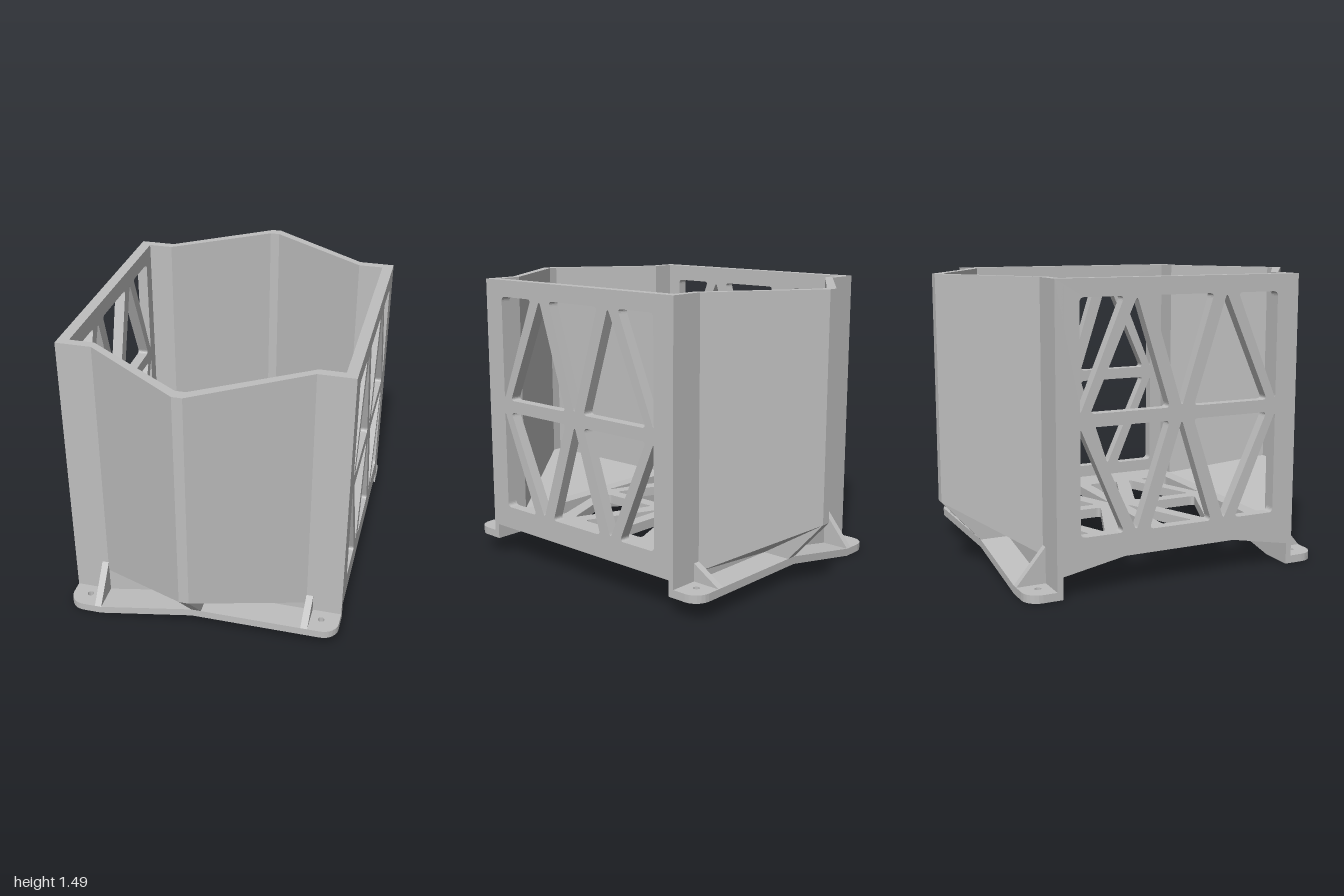
import * as THREE from 'three';
import { ConvexGeometry } from 'three/addons/geometries/ConvexGeometry.js';

const TOP = 1.49, X = 0.71, XI = 0.655, Z = 0.65, ZI = 0.605;
const NL = -0.035, NR = 0.015; // flat tip of the pointed ends

// Trace a polygon with softened corners
function rounded(path, pts, cut) {
  const n = pts.length;
  const v = pts.map(p => new THREE.Vector2(p[0], p[1]));
  for (let i = 0; i < n; i++) {
    const p = v[i], a = v[(i + n - 1) % n], b = v[(i + 1) % n];
    const s = p.clone().add(a.clone().sub(p).setLength(cut));
    const e = p.clone().add(b.clone().sub(p).setLength(cut));
    if (i === 0) path.moveTo(s.x, s.y); else path.lineTo(s.x, s.y);
    path.quadraticCurveTo(p.x, p.y, e.x, e.y);
  }
  path.closePath();
  return path;
}
const polygon = pts => new THREE.Shape(pts.map(p => new THREE.Vector2(p[0], p[1])));
const extrude = (shape, depth) =>
  new THREE.ExtrudeGeometry(shape, { depth, bevelEnabled: false, curveSegments: 6 });
const hull = pts => new ConvexGeometry(pts.map(p => new THREE.Vector3(...p)));

export function createModel() {
  const group = new THREE.Group();
  const grey = new THREE.MeshStandardMaterial({ color: 0xbebebe });
  grey.name = 'grey';
  const add = (name, geometry) => {
    const m = new THREE.Mesh(geometry, grey);
    m.name = name;
    group.add(m);
    return m;
  };

  // Side walls with truss cut-outs, drawn in (z, y)
  const trussHoles = [];
  for (const [edge, mid] of [[1.405, 0.87], [0.287, 0.807]]) {
    for (const s of [1, -1]) {
      trussHoles.push([[s * 0.53, edge], [s * 0.305, edge], [s * 0.53, mid]]);
      trussHoles.push([[s * 0.24, edge], [s * 0.48, mid], [s * 0.065, mid]]);
    }
    trussHoles.push([[-0.17, edge], [0.17, edge], [0, mid]]);
  }
  for (const s of [1, -1]) {
    // the right-hand wall dips toward its lower feet
    const bottom = s > 0 ? [[-Z, 0.17], [Z, 0.17]]
      : [[-Z, 0.105], [-0.62, 0.11], [-0.3, 0.17], [0.3, 0.17], [0.62, 0.11], [Z, 0.105]];
    const wall = polygon([...bottom, [Z, TOP], [-Z, TOP]]);
    for (const h of trussHoles) wall.holes.push(rounded(new THREE.Path(), h, 0.025));
    const g = extrude(wall, X - XI);
    g.rotateY(-Math.PI / 2);
    g.translate(s > 0 ? X : -XI, 0, 0);
    add(s > 0 ? 'leftWall' : 'rightWall', g);
  }

  // Floor with truss cut-outs, drawn in (x, z)
  const floor = polygon([[-XI, -ZI], [XI, -ZI], [XI, ZI], [-XI, ZI]]);
  for (const sx of [1, -1]) for (const sz of [1, -1]) {
    const holes = [
      [[0.46, 0.53], [0.035, 0.53], [0.46, 0.37]],
      [[0.035, 0.46], [0.035, 0.12], [0.455, 0.29]],
      [[0.46, 0.21], [0.46, 0.035], [0.035, 0.035]],
    ];
    for (const h of holes) {
      floor.holes.push(rounded(new THREE.Path(), h.map(([x, z]) => [x * sx, z * sz]), 0.03));
    }
  }
  const floorGeo = extrude(floor, 0.05);
  floorGeo.rotateX(Math.PI / 2);
  floorGeo.translate(0, 0.22, 0);
  add('floor', floorGeo);

  // Front and back ends
  for (const s of [1, -1]) {
    const end = s > 0 ? 'front' : 'back';
    const at = pts => hull(pts.map(([x, y, z]) => [x, y, z * s]));

    for (const [sx, tip] of [[-1, NL], [1, NR]]) {
      // Straight strip beside the pointed bay
      const strip = new THREE.BoxGeometry(X - 0.53, TOP - 0.17, Z - ZI);
      strip.translate(sx * (X + 0.53) / 2, (TOP + 0.17) / 2, s * (Z + ZI) / 2);
      add(end + 'Strip', strip);

      // Slanted wall of the bay, its lower edge rising to the tip
      const slant = [];
      for (const [x, y, z] of [[sx * 0.53, 0.17, Z], [sx * 0.53, 0.17, ZI], [tip, 0.35, 1], [tip, 0.35, 0.945]]) {
        slant.push([x, y, z], [x, TOP, z]);
      }
      add(end + 'SlantedWall', at(slant));

      // Small triangular gusset on the foot
      const y0 = sx < 0 ? 0.04 : 0.13;
      const gusset = [];
      for (const x of [sx * 0.528, sx * 0.563]) gusset.push([x, y0, Z], [x, 0.22, Z], [x, y0, 0.8]);
      add(end + 'Gusset', at(gusset));

      // Foot pad with one rounded corner and a bolt hole
      const r = 0.08, foot = new THREE.Shape();
      foot.moveTo(sx * 0.53, s * 0.62);
      foot.lineTo(sx * X, s * 0.62);
      foot.lineTo(sx * X, s * (0.8 - r));
      foot.bezierCurveTo(sx * X, s * (0.8 - r * 0.45), sx * (X - r * 0.45), s * 0.8, sx * (X - r), s * 0.8);
      foot.lineTo(sx * 0.53, s * 0.8);
      foot.closePath();
      foot.holes.push(new THREE.Path().absarc(sx * 0.618, s * 0.712, 0.017, 0, Math.PI * 2));
      const pad = extrude(foot, 0.04);
      pad.rotateX(Math.PI / 2);
      pad.translate(0, y0, 0);
      add(end + 'FootPad', pad);
    }

    // Flat tip of the bay
    const tipGeo = new THREE.BoxGeometry(NR - NL, TOP - 0.35, 0.055);
    tipGeo.translate((NL + NR) / 2, (TOP + 0.35) / 2, s * 0.9725);
    add(end + 'Tip', tipGeo);

    // Sloping bay floor with a folded underside
    const bay = [];
    for (const [sx, tip] of [[-1, NL], [1, NR]]) {
      bay.push([sx * 0.53, 0.17, Z], [sx * 0.53, 0.17, ZI], [sx * 0.53, 0.22, ZI],
        [tip, 0.35, 1], [tip, 0.4, 0.945], [tip, 0.13, Z]);
    }
    add(end + 'BayFloor', at(bay));

    // Centre rib under the bay
    const rib = [];
    for (const x of [NL, NR]) rib.push([x, 0.35, 1], [x, 0.13, 0.8], [x, 0.13, Z]);
    add(end + 'Rib', at(rib));

    // Flange stepping down to the lower foot
    const flange = extrude(polygon([[-0.53, 0], [NL, 0.09], [0.53, 0.09], [0.53, 0.13], [NL, 0.13], [-0.53, 0.04]]), 0.18);
    flange.translate(0, 0, s > 0 ? 0.62 : -0.8);
    add(end + 'Flange', flange);

    // Web joining the flange to the body
    const web = extrude(polygon([[-X, 0.04], [-0.53, 0.04], [NL, 0.13], [X, 0.13], [X, 0.17], [-X, 0.17]]), 0.03);
    web.translate(0, 0, s > 0 ? 0.62 : -0.65);
    add(end + 'Web', web);
  }
  return group;
}
